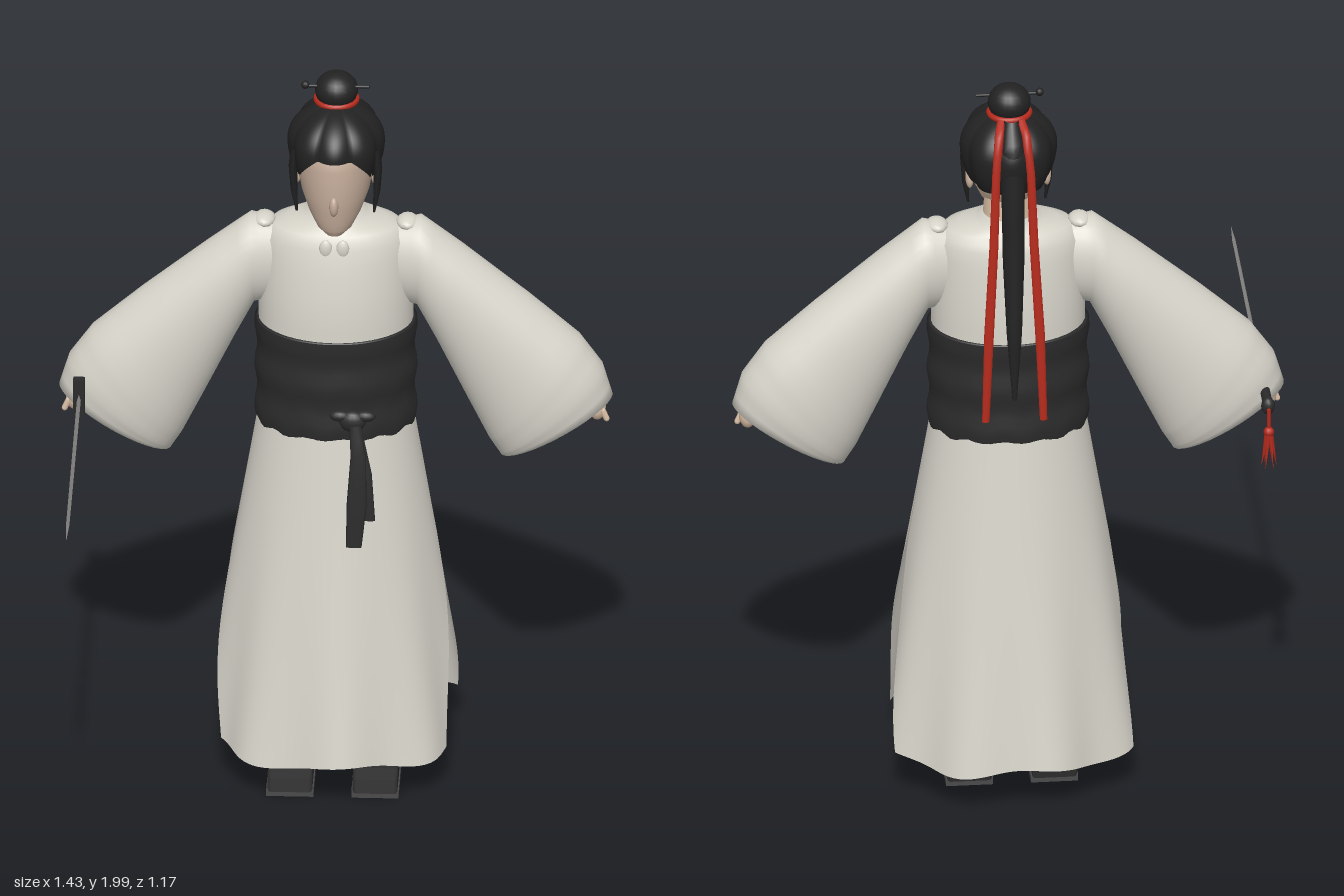
import * as THREE from 'three';
import { mergeVertices } from 'three/addons/utils/BufferGeometryUtils.js';

const mat = (name, color, side = THREE.FrontSide) => {
  const m = new THREE.MeshStandardMaterial({ color, side });
  m.name = name;
  return m;
};

// Smooth surface from a rule p(u, v), with u and v in 0..1
function grid(p, nu, nv) {
  const pos = [], idx = [];
  for (let j = 0; j <= nv; j++)
    for (let i = 0; i <= nu; i++) pos.push(...p(i / nu, j / nv));
  for (let j = 0; j < nv; j++)
    for (let i = 0; i < nu; i++) {
      const a = j * (nu + 1) + i, d = a + nu + 1;
      idx.push(a, a + 1, d + 1, a, d + 1, d);
    }
  let g = new THREE.BufferGeometry();
  g.setAttribute('position', new THREE.Float32BufferAttribute(pos, 3));
  g.setIndex(idx);
  g = mergeVertices(g, 1e-5);
  g.computeVertexNormals();
  return g;
}

// Smoothly interpolated row of a section list
function sample(rows, v) {
  const f = v * (rows.length - 1), i = Math.min(Math.floor(f), rows.length - 2), k = f - i;
  return rows[i].map((a, n) => a + (rows[i + 1][n] - a) * k);
}

// Oval sections, bottom to top: [y, halfWidth, zFront, zBack, centreX]
const loft = (rows, nu = 28, from = -Math.PI, to = Math.PI, step = 2) => grid((u, v) => {
  const [y, w, zf, zb, cx = 0] = sample(rows, v), t = from + (to - from) * u;
  return [cx + w * Math.sin(t), y, (zf + zb) / 2 + (zf - zb) / 2 * Math.cos(t)];
}, nu, (rows.length - 1) * step);

export function createModel() {
  const root = new THREE.Group();
  root.name = 'swordFighter';
  const D = THREE.DoubleSide;
  const robe = mat('robeCloth', 0xd6d3c9, D), black = mat('blackCloth', 0x2b2b2c, D);
  const hair = mat('hair', 0x222223, D), skin = mat('skin', 0xdcc1a8, D);
  const face = mat('faceSkin', 0xc2aa98, D), red = mat('redRibbon', 0xb52a1c, D);
  const steel = mat('steel', 0xa2a19e), sole = mat('soleGrey', 0x4a4a4a);
  const add = (name, geo, m, x = 0, y = 0, z = 0, parent = root) => {
    const o = new THREE.Mesh(geo, m);
    o.name = name;
    o.position.set(x, y, z);
    parent.add(o);
    return o;
  };

  // Upper robe
  add('torso', loft([
    [1.28, .2, -.125, -.43], [1.38, .2, -.13, -.425], [1.48, .197, -.147, -.412],
    [1.55, .192, -.165, -.398], [1.585, .165, -.18, -.38], [1.605, .09, -.2, -.37], [1.625, .066, -.215, -.36],
  ], 36), robe);
  for (const s of [-1, 1]) {
    const knot = add('collarKnot', new THREE.SphereGeometry(.022, 12, 8), robe, s * .022, 1.555, -.172);
    knot.scale.set(.8, 1.2, .5);
    const tab = add('shoulderFold', new THREE.SphereGeometry(.03, 12, 8), robe, s * .185, 1.585, -.28);
    tab.scale.set(1, .6, 1.3);
  }

  // Wide sleeves: [topX, topY, bottomX, bottomY, halfDepth]
  const sleeve = [
    [.15, 1.585, .16, 1.36, .07], [.22, 1.6, .21, 1.35, .085], [.33, 1.515, .26, 1.25, .095],
    [.5, 1.375, .34, 1.08, .106], [.63, 1.26, .395, .965, .114], [.69, 1.175, .42, .925, .11],
    [.715, 1.09, .425, .915, .095], [.66, 1.075, .46, .955, .06], [.575, 1.03, .565, 1.025, .001],
  ];
  for (const s of [-1, 1]) {
    add(s > 0 ? 'leftSleeve' : 'rightSleeve', grid((u, v) => {
      const [tx, ty, bx, by, d] = sample(sleeve, v), t = u * Math.PI * 2 * s, k = (1 + Math.cos(t)) / 2;
      return [s * (bx + (tx - bx) * k), by + (ty - by) * k, -.28 + d * Math.sin(t)];
    }, 32, 24), robe);
    const hand = add(s > 0 ? 'leftHand' : 'rightHand', new THREE.SphereGeometry(.03, 14, 10), skin, s * .675, 1.055, -.275);
    hand.scale.set(.75, 1.2, .95);
    const thumb = add('thumb', new THREE.CapsuleGeometry(.008, .025, 4, 8), skin, s * .695, 1.04, -.26);
    thumb.rotation.z = s * .4;
  }

  // Split skirt: front and back panels flaring to the hem
  for (const s of [1, -1])
    add(s > 0 ? 'frontSkirtPanel' : 'backSkirtPanel', grid((u, v) => {
      const f = 1 - v, slit = .54 * Math.max(0, (f - .39) / .61);
      const t = (u * 2 - 1) * (Math.PI / 2 - slit);
      const ripple = .012 * f * f * Math.sin(t * 9 + s), r = 1 + ripple * 3;
      const y = 1.04 - .91 * f + .012 * f * f * Math.sin(t * 5 + 1);
      return [s * (.2 + .15 * f) * Math.sin(t) * r, y, -.28 + s * (.16 + .145 * f) * Math.cos(t) * r];
    }, 48, 28), robe);

  // Sash with wavy hem, knot and hanging ends
  add('sash', grid((u, v) => {
    const t = (u * 2 - 1) * Math.PI, w = .207 + .004 * Math.sin(v * 15);
    return [w * Math.sin(t), 1.02 + .285 * v + .006 * (1 - v) * Math.sin(t * 13), -.28 + (w - .045) * Math.cos(t)];
  }, 64, 12), black);
  add('sashRim', new THREE.TorusGeometry(.2, .007, 8, 48).rotateX(Math.PI / 2).scale(1, 1, .79), black, 0, 1.3, -.28);
  const knot = add('sashKnot', new THREE.SphereGeometry(.035, 14, 10), black, .05, 1.085, -.112);
  knot.scale.set(1, .85, .6);
  for (const s of [-1, 1]) {
    const bow = add('sashBow', new THREE.SphereGeometry(.03, 12, 8), black, .05 + s * .033, 1.1, -.112);
    bow.scale.set(.9, .5, .5);
  }
  add('sashEnd', loft([[.74, .02, -.062, -.068, .055], [.86, .026, -.065, -.073, .062],
    [1, .02, -.075, -.085, .066], [1.08, .014, -.09, -.105, .056]], 12), black);
  add('sashEnd', loft([[.815, .015, -.07, -.076, .095], [.95, .018, -.075, -.083, .083],
    [1.08, .012, -.092, -.105, .06]], 12), black);

  // Boots
  for (const s of [-1, 1]) {
    const boot = new THREE.Group();
    boot.name = s > 0 ? 'leftBoot' : 'rightBoot';
    boot.position.x = s * .11;
    root.add(boot);
    add('bootShaft', loft([[.05, .057, -.205, -.35], [.14, .055, -.21, -.345], [.3, .058, -.21, -.345],
      [.42, .062, -.207, -.347], [.47, .055, -.225, -.335], [.51, .035, -.255, -.305]], 20), black, 0, 0, 0, boot);
    const side = new THREE.Shape([[.39, .03], [.39, .11], [.33, .118], [.22, .115], [.17, .085], [.1, .07], [.065, .058], [.06, .03]]
      .map(([a, b]) => new THREE.Vector2(a, b)));
    const foot = new THREE.ExtrudeGeometry(side, { depth: .1, bevelEnabled: true, bevelSize: .006, bevelThickness: .008, bevelSegments: 2 });
    foot.rotateY(Math.PI / 2);
    add('foot', foot, black, -.05, 0, 0, boot);
    add('sole', new THREE.BoxGeometry(.122, .018, .335), sole, 0, .019, -.225, boot);
  }

  // Neck, skull and face
  add('neck', new THREE.CylinderGeometry(.06, .068, .14, 24), skin, 0, 1.64, -.285);
  const head = [[1.597, .02, -.165, -.2], [1.615, .045, -.155, -.25], [1.65, .068, -.148, -.32],
    [1.7, .088, -.142, -.375], [1.76, .1, -.143, -.4], [1.82, .103, -.15, -.4], [1.88, .075, -.19, -.38]];
  add('face', loft(head, 24, -1.5, 1.5), face);
  add('skull', loft(head, 24, 1.5, Math.PI * 2 - 1.5), skin);
  const nose = add('nose', new THREE.SphereGeometry(.016, 12, 10), face, 0, 1.695, -.143);
  nose.scale.set(.75, 1.7, .9);
  for (const s of [-1, 1]) {
    const ear = add('ear', new THREE.SphereGeometry(.028, 12, 10), skin, s * .1, 1.725, -.285);
    ear.scale.set(.4, 1.2, .75);
    add('sideLock', loft([[1.63, .003, -.24, -.248, s * .1], [1.69, .009, -.232, -.264, s * .107],
      [1.76, .011, -.222, -.27, s * .11], [1.82, .01, -.22, -.28, s * .105]], 12), hair);
  }

  // Lobed hair cap, low at the back and arched over the forehead
  add('hairCap', grid((u, v) => {
    const t = (u * 2 - 1) * Math.PI;
    const low = 1.825 - .1 * THREE.MathUtils.smoothstep(Math.abs(t), .2, 1.3);
    const from = Math.asin(Math.min(0, (low - 1.82) / .16)), phi = from + (Math.PI / 2 - from) * v;
    const r = Math.cos(phi) * (.97 + .09 * Math.abs(Math.cos(t * 4)));
    return [.119 * r * Math.sin(t), 1.82 + (phi < 0 ? .16 : .103) * Math.sin(phi), -.29 + .144 * r * Math.cos(t)];
  }, 96, 18), hair);

  // Topknot with tie and hairpin
  const bun = add('topknot', new THREE.SphereGeometry(.056, 20, 14), hair, 0, 1.95, -.312);
  bun.scale.y = .89;
  add('topknotTie', new THREE.TorusGeometry(.052, .008, 8, 28).rotateX(Math.PI / 2), red, 0, 1.922, -.315);
  const pin = add('hairpin', new THREE.CylinderGeometry(.004, .004, .17, 8), hair, 0, 1.965, -.3);
  pin.rotation.z = Math.PI / 2;
  add('hairpinHead', new THREE.SphereGeometry(.011, 10, 8), hair, -.08, 1.968, -.3);

  // Ponytail and ribbons
  add('ponytail', loft([[1.16, .006, -.455, -.468], [1.35, .02, -.436, -.47], [1.55, .028, -.41, -.456],
    [1.72, .03, -.395, -.447], [1.86, .034, -.37, -.437], [1.925, .02, -.34, -.385]], 16, -Math.PI, Math.PI, 4), hair);
  for (const s of [-1, 1])
    add('hairRibbon', loft([[1.1, .01, -.458, -.468, s * .075], [1.35, .013, -.452, -.464, s * .066],
      [1.6, .012, -.438, -.45, s * .052], [1.8, .011, -.428, -.44, s * .045], [1.9, .012, -.40, -.42, s * .035],
      [1.925, .01, -.35, -.37, s * .025]], 10), red);

  // Sword pointing forward, with tassel behind the grip
  const sword = new THREE.Group();
  sword.name = 'sword';
  sword.position.set(-.66, 1.095, 0);
  root.add(sword);
  const blade = (r0, r1, len) => new THREE.CylinderGeometry(r1, r0, len, 4).toNonIndexed().rotateX(Math.PI / 2).scale(.3, 1, 1);
  const flat = (g) => { g.computeVertexNormals(); return g; };
  add('blade', flat(blade(.017, .015, .69)), steel, 0, 0, .155, sword);
  add('bladeTip', flat(blade(.015, .0005, .085)), steel, 0, 0, .5425, sword);
  add('guard', new THREE.BoxGeometry(.03, .1, .022), black, 0, .008, -.187, sword);
  add('grip', new THREE.CylinderGeometry(.013, .013, .24, 12).rotateX(Math.PI / 2), black, 0, 0, -.31, sword);
  const pommel = add('pommel', new THREE.SphereGeometry(.02, 12, 10), black, 0, 0, -.43, sword);
  pommel.scale.set(.9, 1.2, .9);
  add('tasselCord', new THREE.CylinderGeometry(.005, .005, .07, 8), red, 0, -.035, -.452, sword);
  add('tasselKnot', new THREE.SphereGeometry(.014, 10, 8), red, 0, -.065, -.452, sword);
  for (let i = 0; i < 6; i++) {
    const a = i * Math.PI / 3;
    const strand = add('tasselStrand', new THREE.ConeGeometry(.008, .1, 6).rotateX(Math.PI), red,
      .012 * Math.cos(a), -.115, -.452 + .012 * Math.sin(a), sword);
    strand.rotation.set(-.16 * Math.sin(a), 0, .16 * Math.cos(a));
  }
  return root;
}
